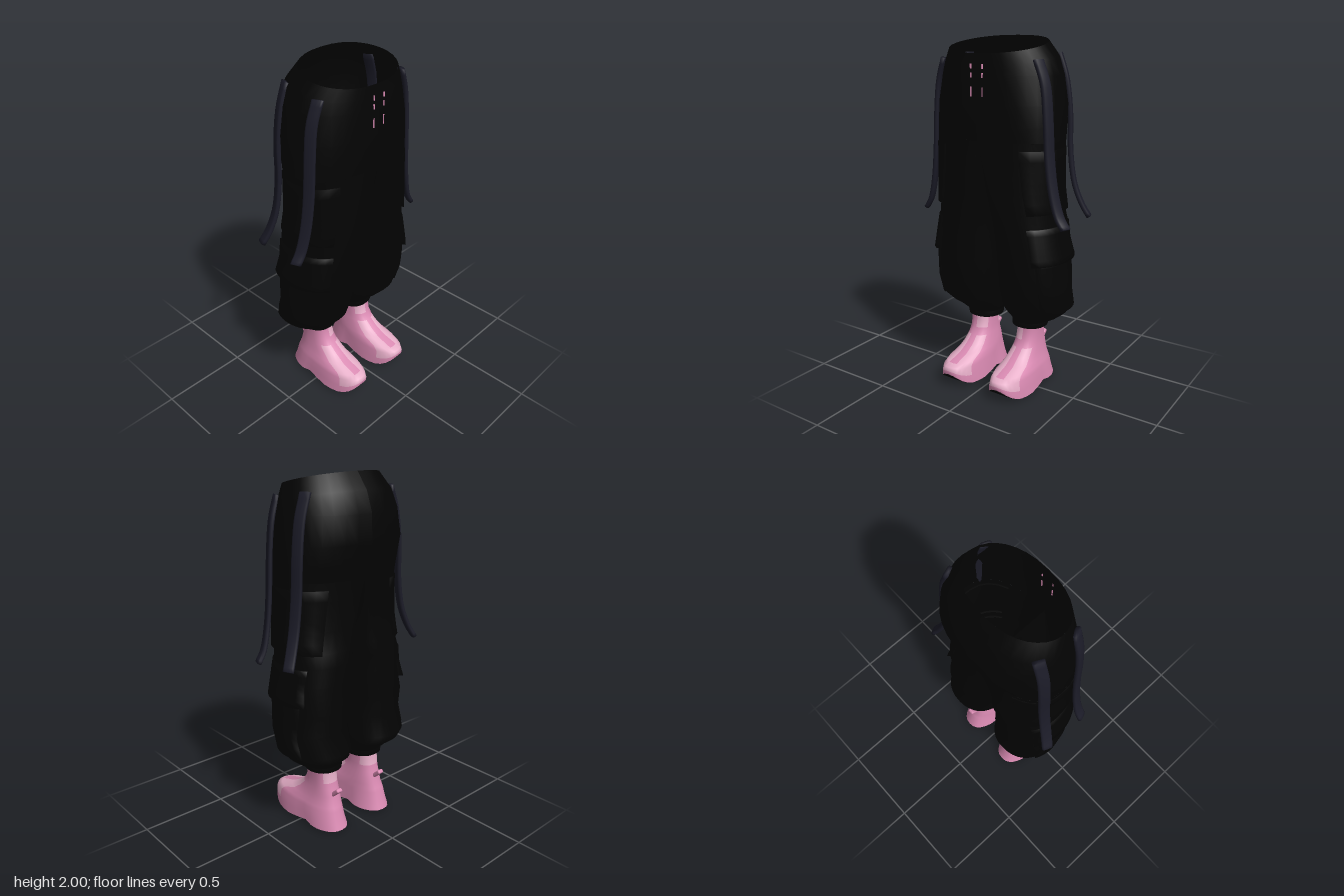
import * as THREE from 'three';
import { RoundedBoxGeometry } from 'three/addons/geometries/RoundedBoxGeometry.js';

const paint = (name, color, side = THREE.FrontSide) => {
  const m = new THREE.MeshStandardMaterial({ color, side });
  m.name = name;
  return m;
};
const rad = THREE.MathUtils.degToRad;
const clamp01 = (v) => THREE.MathUtils.clamp(v, 0, 1);
const pow = (v, e) => Math.sign(v) * Math.abs(v) ** e;

// Skin a list of rings (top to bottom); pick(row, col) may choose a material index.
function loft(rings, closed = true, pick = null) {
  const n = rings[0].length, cols = closed ? n : n - 1, buckets = [[], []];
  for (let i = 0; i < rings.length - 1; i++) {
    for (let j = 0; j < cols; j++) {
      const k = (j + 1) % n, a = i * n + j, b = i * n + k, c = a + n, d = b + n;
      buckets[pick ? pick(i, j) : 0].push(a, b, c, b, d, c);
    }
  }
  const g = new THREE.BufferGeometry();
  g.setAttribute('position', new THREE.Float32BufferAttribute(rings.flat(2), 3));
  g.setIndex(buckets.flat());
  if (pick) {
    g.addGroup(0, buckets[0].length, 0);
    g.addGroup(buckets[0].length, buckets[1].length, 1);
  }
  g.computeVertexNormals();
  return g;
}

// Copy across x = 0 with corrected winding.
function mirrored(geo) {
  const g = geo.clone();
  g.scale(-1, 1, 1);
  const ix = g.index.array;
  for (let i = 0; i < ix.length; i += 3) [ix[i], ix[i + 1]] = [ix[i + 1], ix[i]];
  g.computeVertexNormals();
  return g;
}

// Trouser sections: y, outer x, middle x, inner x, front z, back z
const hipRows = [
  [1.955, 0.29, 0, 0, 0.215, -0.18],
  [1.88, 0.332, 0, 0, 0.217, -0.25],
  [1.8, 0.352, 0, 0, 0.221, -0.29],
  [1.65, 0.372, 0, 0, 0.224, -0.295],
  [1.54, 0.375, 0, 0, 0.223, -0.265],
  [1.46, 0.376, 0, 0, 0.22, -0.245],
];
const legRows = [
  [1.46, 0.376, 0, 0, 0.22, -0.245],
  [1.36, 0.37, 0.025, 0.002, 0.218, -0.236],
  [1.2, 0.368, 0.07, 0, 0.215, -0.228],
  [1.08, 0.372, 0.12, 0, 0.208, -0.235],
  [1.01, 0.38, 0.15, 0.004, 0.203, -0.252],
  [0.9, 0.385, 0.18, 0.008, 0.192, -0.237],
  [0.75, 0.4, 0.2, 0.012, 0.182, -0.265],
  [0.62, 0.412, 0.2, 0.014, 0.163, -0.24],
  [0.5, 0.41, 0.2, 0.018, 0.128, -0.28],
  [0.455, 0.375, 0.19, 0.024, 0.085, -0.265],
  [0.42, 0.33, 0.175, 0.035, 0.04, -0.22],
  [0.385, 0.262, 0.16, 0.055, 0.014, -0.188],
];

function sectionPoint([y, xo, xm, xi, zf, zb], t, off = 0) {
  const c = pow(Math.cos(t), 0.85), sin = Math.sin(t);
  const waist = clamp01((y - 1.65) / 0.25);
  const s = pow(sin, sin > 0
    ? 0.75 + 0.25 * Math.max(waist, clamp01((1.4 - y) / 0.4))
    : 0.85 + 0.2 * Math.max(waist, clamp01((1 - y) / 0.25)));
  return [
    xm + (c > 0 ? xo - xm : xm - xi) * c + off * Math.cos(t), y,
    (zf + zb) / 2 + ((zf - zb) / 2) * s + off * sin,
  ];
}

function legAt(y) {
  const i = Math.max(1, legRows.findIndex((r) => r[0] <= y));
  const a = legRows[i - 1], b = legRows[i], t = (a[0] - y) / (a[0] - b[0]);
  return a.map((v, k) => v + (b[k] - v) * t);
}

// Raised patch that follows the outside of the leg
function pocket(yTop, yBottom, offTop, offBottom, from, to) {
  const rows = 6, cols = 9, rings = [];
  for (let i = -1; i <= rows + 1; i++) {
    const u = clamp01(i / rows), ring = [];
    const section = legAt(yTop + (yBottom - yTop) * u);
    for (let j = -1; j <= cols + 1; j++) {
      const rim = i < 0 || j < 0 || i > rows || j > cols;
      ring.push(sectionPoint(section, rad(from + (to - from) * clamp01(j / cols)),
        rim ? -0.01 : offTop + (offBottom - offTop) * u));
    }
    rings.push(ring);
  }
  return loft(rings, false);
}

// Hanging strap: rounded flat section swept down a curve, turned about the vertical
function strap(points, turn) {
  const curve = new THREE.CatmullRomCurve3(points.map((p) => new THREE.Vector3(...p)));
  const across = new THREE.Vector3(-Math.sin(rad(turn)), 0, Math.cos(rad(turn)));
  const steps = 22, rings = [];
  for (let i = -1; i <= steps + 1; i++) {
    const u = clamp01(i / steps), size = i < 0 || i > steps ? 0.01 : 1;
    const p = curve.getPoint(u), ring = [];
    const out = across.clone().cross(curve.getTangent(u)).normalize().negate();
    for (let j = 0; j < 12; j++) {
      const t = (j / 12) * Math.PI * 2;
      const h = 0.014 * size * pow(Math.cos(t), 0.6), w = 0.031 * size * pow(Math.sin(t), 0.6);
      ring.push(p.clone().addScaledVector(out, -h).addScaledVector(across, w).toArray());
    }
    rings.push(ring);
  }
  return loft(rings);
}

// Shoe sections: y, back z, front z, inner x, outer x
const shoeRows = [
  [0.37, -0.172, 0.005, 0.097, 0.235],
  [0.33, -0.172, 0.006, 0.095, 0.232],
  [0.28, -0.178, 0.018, 0.093, 0.232],
  [0.24, -0.188, 0.045, 0.088, 0.236],
  [0.2, -0.2, 0.095, 0.08, 0.242],
  [0.165, -0.208, 0.155, 0.073, 0.252],
  [0.138, -0.22, 0.255, 0.066, 0.264],
  [0.115, -0.228, 0.288, 0.062, 0.272],
  [0.06, -0.243, 0.298, 0.055, 0.28],
  [0.01, -0.262, 0.293, 0.048, 0.287],
];
const shoeSides = 32;
function shoeRing([y, zb, zf, xi, xo], scale = 1, drop = 0) {
  return Array.from({ length: shoeSides }, (_, j) => {
    const t = (j / shoeSides) * Math.PI * 2;
    const side = pow(Math.cos(t), 0.82) * scale;
    const z = (zf + zb) / 2 + ((zf - zb) / 2) * pow(Math.sin(t), 0.82) * scale;
    const middle = Math.exp(-(((z + 0.04) / 0.06) ** 2));
    const waist = 1 - 0.14 * middle * clamp01(1 - y / 0.18);
    const x = (xi + xo) / 2 + ((xo - xi) / 2) * side * waist;
    const toe = Math.max(0, (z - 0.15) / 0.145) ** 2 * 0.08 * (1 - 0.5 * side * side);
    return [x, Math.max(0, y + (toe + 0.018 * middle) * clamp01(1 - y / 0.13) - drop), z];
  });
}

export function createModel() {
  const model = new THREE.Group();
  const black = paint('black cloth', 0x030303, THREE.DoubleSide);
  const sole = paint('sole black', 0x050405, THREE.DoubleSide);
  const navy = paint('dark navy webbing', 0x1b1b27);
  const pink = paint('pink', 0xd98ab2);
  const light = paint('light pink', 0xe6aec8);

  const add = (name, geo, mat) => {
    const mesh = new THREE.Mesh(geo, mat);
    mesh.name = name;
    model.add(mesh);
  };
  const pair = (name, geo, mat) => {
    add(name + 'Left', geo, mat);
    add(name + 'Right', mirrored(geo), mat);
  };
  const arc = (row, from, to, n) =>
    Array.from({ length: n }, (_, j) => sectionPoint(row, rad(from + ((to - from) * j) / (n - 1))));

  // Hips, with the waistline rising toward the back
  const hips = hipRows.map((r) => arc(r, -90, 90, 17));
  hips[0].forEach((p) => { p[1] = 1.91 + 0.09 * (0.215 - p[2]) / 0.395; });
  hips[1].forEach((p) => { p[1] += 0.03 * (-p[2] / 0.25); });
  pair('hip', loft(hips, false), black);

  // Baggy legs, gathered cuffs and pockets
  pair('trouserLeg', loft(legRows.map((r) => arc(r, -90, 260, 36))), black);
  const cuff = [[0.4, 0.262, 0.054], [0.375, 0.266, 0.05], [0.355, 0.26, 0.054], [0.358, 0.235, 0.09]];
  pair('cuff', loft(cuff.map(([y, xo, xi], i) =>
    arc([y, xo, (xo + xi) / 2, xi, i < 3 ? 0.016 : 0, i < 3 ? -0.19 : -0.17], -90, 260, 36))), black);
  pair('upperPocket', pocket(1.42, 1.08, 0.006, 0.018, -58, 55), black);
  pair('cargoPocket', pocket(0.84, 0.5, 0.012, 0.01, -30, 55), black);
  pair('pocketFlap', pocket(1.0, 0.8, 0.008, 0.033, -38, 60), black);

  // Hanging straps
  pair('frontStrap', strap([[0.3, 1.88, 0.105], [0.34, 1.76, 0.1], [0.36, 1.58, 0.1],
    [0.372, 1.38, 0.098], [0.395, 1.2, 0.092], [0.43, 1.07, 0.085], [0.467, 1.01, 0.083]], 22), navy);
  pair('backStrap', strap([[0.296, 1.91, -0.125], [0.338, 1.78, -0.13], [0.362, 1.6, -0.135],
    [0.37, 1.4, -0.133], [0.395, 1.22, -0.14], [0.435, 1.1, -0.16], [0.47, 1.03, -0.182]], -22), navy);

  // Tiny fly eyelets
  for (const y of [1.845, 1.8, 1.715]) {
    const eyelet = new THREE.BoxGeometry(0.006, y < 1.75 ? 0.05 : 0.025, 0.006);
    eyelet.translate(0.036, y, 0.221);
    pair('eyelet', eyelet, pink);
  }

  // Shoes: light panels at the ankle top, instep sides and toe
  const upper = loft(shoeRows.map((r) => shoeRing(r)), true, (i, j) => {
    const a = ((j + 0.5) / shoeSides) * 360;
    const ankle = i <= 1 && ((a > 95 && a < 150) || (a > 205 && a < 320));
    const instep = i >= 3 && i <= 7 && ((a > 30 && a < 78) || (a > 102 && a < 150));
    const toe = i >= 6 && i <= 7 && a > 45 && a < 135;
    return ankle || instep || toe ? 1 : 0;
  });
  pair('shoeUpper', upper, [pink, light]);
  const edge = shoeRows[shoeRows.length - 1];
  pair('shoeSole', loft([shoeRing(edge), shoeRing(edge, 0.95, 0.004),
    shoeRing(edge, 0.8, 0.01), shoeRing(edge, 0.01, 0.004)]), sole);
  pair('shoeLining', loft([shoeRing([0.366, -0.168, 0.001, 0.1, 0.231]),
    shoeRing([0.355, -0.168, 0.001, 0.1, 0.231], 0.01)]), sole);

  // Heel pull tabs
  const tab = new RoundedBoxGeometry(0.04, 0.024, 0.075, 2, 0.009);
  if (!tab.index) tab.setIndex([...Array(tab.attributes.position.count).keys()]);
  tab.rotateX(0.75).translate(0.165, 0.232, -0.21);
  pair('heelTab', tab, pink);

  return model;
}
